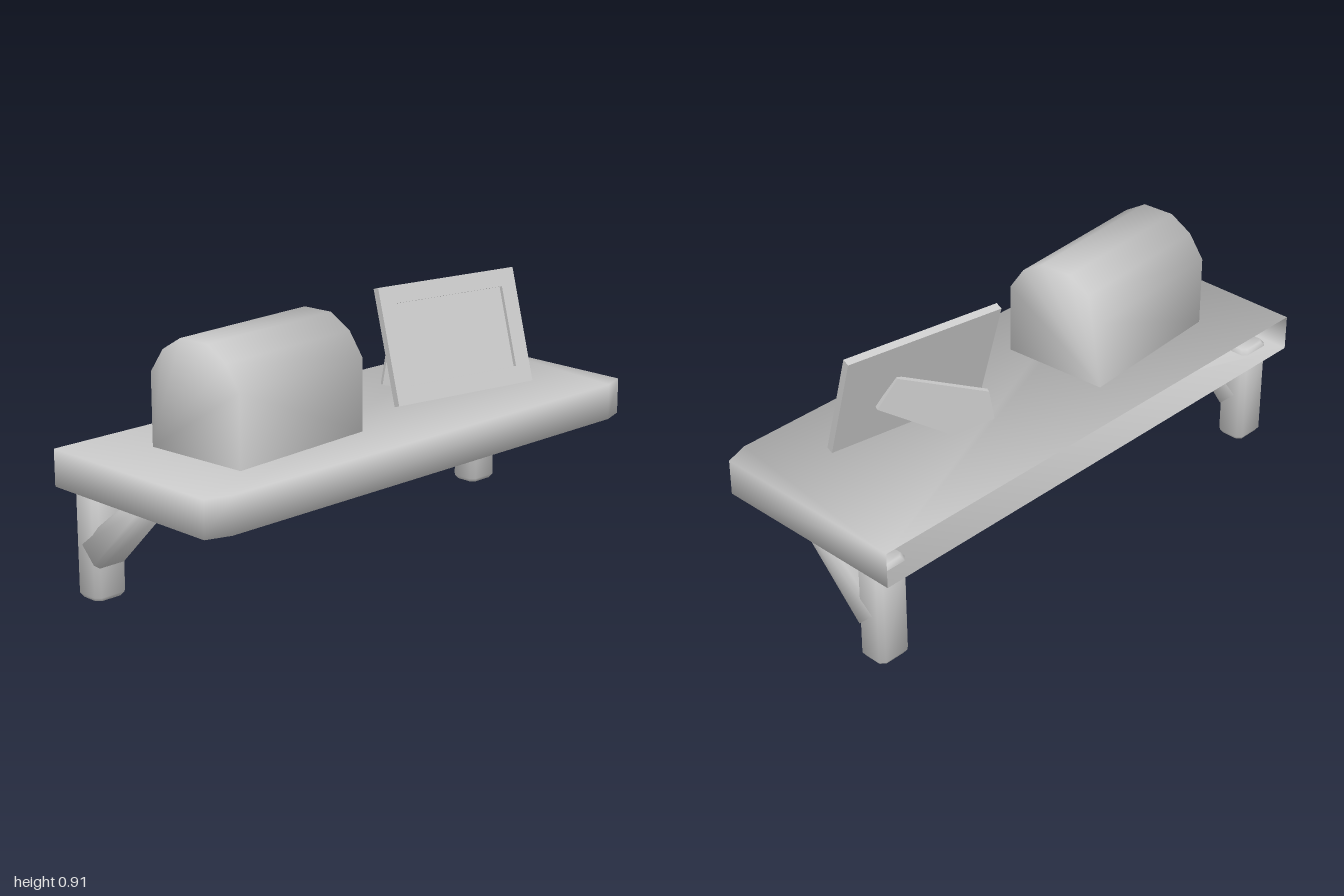
import * as THREE from 'three';

const material = new THREE.MeshStandardMaterial({ color: 0xcccccc, side: THREE.DoubleSide });

function add(parent, name, geometry) {
  const mesh = new THREE.Mesh(geometry, material);
  mesh.name = name;
  parent.add(mesh);
  return mesh;
}

// Smooth normals across shared corners, weighted by corner angle
function smoothNormals(points, index) {
  const normals = points.map(() => new THREE.Vector3());
  for (let f = 0; f < index.length; f += 3) {
    const ids = index.slice(f, f + 3);
    const [a, b, c] = ids.map(i => points[i]);
    const n = b.clone().sub(a).cross(c.clone().sub(a)).normalize();
    ids.forEach((id, k) => {
      const p = points[id];
      const e1 = points[ids[(k + 1) % 3]].clone().sub(p);
      const e2 = points[ids[(k + 2) % 3]].clone().sub(p);
      normals[id].addScaledVector(n, e1.angleTo(e2));
    });
  }
  return normals.map(n => n.normalize());
}

// Capped solid through a list of rings; one side may be left open
function loft(rings, { openSide = -1, startFan = 0, endFan = 0 } = {}) {
  const n = rings[0].length, last = (rings.length - 1) * n;
  const points = rings.flat(), index = [];
  for (let r = 0; r < last; r += n) {
    for (let i = 0; i < n; i++) {
      if (i === openSide) continue;
      const j = (i + 1) % n;
      index.push(r + i, r + j, r + n + j, r + i, r + n + j, r + n + i);
    }
  }
  for (let k = 1; k < n - 1; k++) {
    index.push(startFan, (startFan + k + 1) % n, (startFan + k) % n);
    index.push(last + endFan, last + (endFan + k) % n, last + (endFan + k + 1) % n);
  }
  const geometry = new THREE.BufferGeometry().setFromPoints(points);
  const normals = smoothNormals(points, index).flatMap(v => v.toArray());
  geometry.setAttribute('normal', new THREE.Float32BufferAttribute(normals, 3));
  geometry.setIndex(index);
  return geometry;
}

// Rectangle with cut corners
function octagon(a, b, c) {
  return [[-a + c, -b], [a - c, -b], [a, -b + c], [a, b - c],
    [a - c, b], [-a + c, b], [-a, b - c], [-a, -b + c]];
}

function makeBracket(x) {
  const bracket = new THREE.Group();
  bracket.name = 'bracket';
  bracket.position.x = x;

  // Upright post with chamfered ends
  const post = [[0, 0.01], [0.015, 0], [0.372, 0], [0.387, 0.01]].map(([y, inset]) =>
    octagon(0.055 - inset, 0.064 - inset, 0.016)
      .map(([z, px]) => new THREE.Vector3(px, y, z - 0.27)));
  add(bracket, 'post', loft(post));

  // Diagonal brace, thinner toward the shelf
  const brace = [[0.16, -0.255, 0.057], [0.41, 0.025, 0.034]].map(([y, z, half]) =>
    octagon(half, 0.066, 0.016)
      .map(([u, px]) => new THREE.Vector3(px, y - u * 0.707, z + u * 0.707)));
  add(bracket, 'brace', loft(brace));
  return bracket;
}

function makePictureFrame() {
  const group = new THREE.Group();
  group.name = 'pictureFrame';
  group.position.set(0.4375, 0.508, 0.1225);
  group.rotation.set(-0.31, -0.166, 0, 'YXZ');
  const w = 0.6, h = 0.418, t = 0.028, border = 0.063;

  // Border with a window, front face at z = 0
  const rect = (Path, x, y) => new Path([
    [-x, h / 2 - y], [x, h / 2 - y], [x, h / 2 + y], [-x, h / 2 + y],
  ].map(p => new THREE.Vector2(...p)));
  const shape = rect(THREE.Shape, w / 2, h / 2);
  shape.holes.push(rect(THREE.Path, w / 2 - border, h / 2 - border));
  add(group, 'frameBorder', new THREE.ExtrudeGeometry(shape, { depth: t, bevelEnabled: false }))
    .position.z = -t;

  // Recessed panel
  add(group, 'picturePanel', new THREE.BoxGeometry(w - 2 * border, h - 2 * border, 0.014))
    .position.set(0, h / 2, -t + 0.007);
  return group;
}

export function createModel() {
  const model = new THREE.Group();
  model.name = 'shelfWithObjects';

  // Shelf board: clipped front corners, open toward the wall
  const plan = [[-0.39, -1], [0.355, -1], [0.385, -0.91], [0.385, 0.91], [0.355, 1], [-0.39, 1]];
  const board = [0.37, 0.5].map(y => plan.map(([z, x]) => new THREE.Vector3(x, y, z)));
  add(model, 'shelfBoard', loft(board, { openSide: 5, startFan: 0, endFan: 5 }));

  // Wall brackets
  for (const side of [-1, 1]) model.add(makeBracket(side * 0.913));

  // Bin with an arched top
  const arch = [[0.5, -0.2], [0.755, -0.2], [0.84, -0.142], [0.89, -0.06],
    [0.89, 0.06], [0.84, 0.142], [0.755, 0.2], [0.5, 0.2]];
  const ends = [-0.293, 0.293].map(x => arch.map(([y, z]) => new THREE.Vector3(x, y, z)));
  const bin = add(model, 'archedBin', loft(ends, { openSide: 7 }));
  bin.position.set(-0.45, 0, 0);
  bin.rotation.y = 0.07;

  // Picture frame and its swung-out support leaf
  model.add(makePictureFrame());
  const leaf = new THREE.Shape([[0.313, 0.755], [0, 0.64], [-0.018, 0.53], [0.134, 0.5], [0.385, 0.652]]
    .map(p => new THREE.Vector2(...p)));
  const stand = add(model, 'frameStand', new THREE.ExtrudeGeometry(leaf, { depth: 0.02, bevelEnabled: false }));
  stand.position.set(0.27, 0, -0.12);
  stand.rotation.y = -0.464;

  return model;
}
